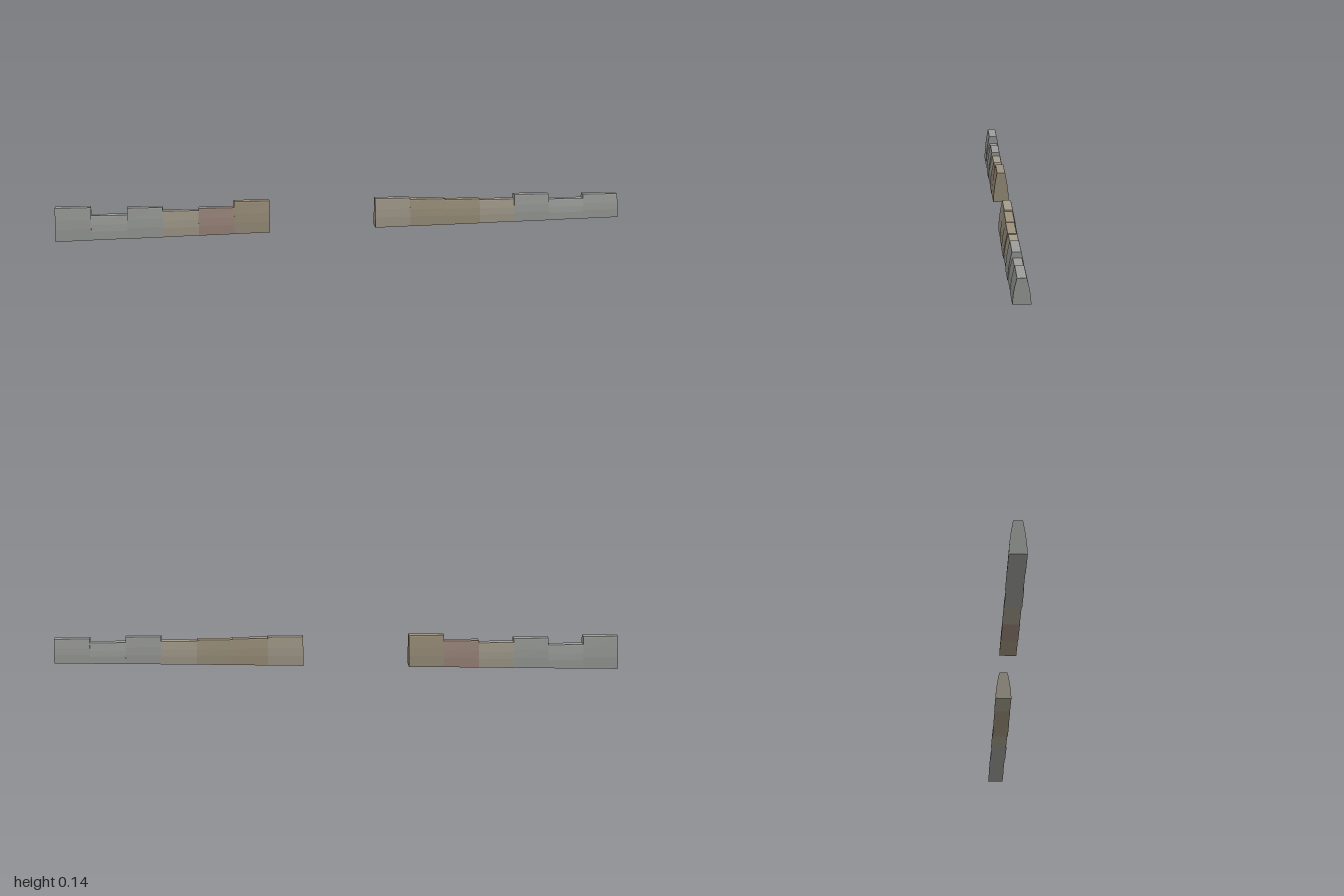
import * as THREE from 'three';

const LENGTH = 0.125; // one wall block
const SLOPE = 0.0245; // the footing climbs gently towards +x

// Half of the tapered cross-section: [fraction of height, half width]
const PROFILE = [[0, 0.029], [0.35, 0.0265], [0.63, 0.0225], [0.96, 0.016], [1, 0.0145]];

const GREY = 0x9c9e9a, TAN = 0x9c917c, SAND = 0xa39c8c, RED = 0x9c877c;

// [top height, colour, sideways shift], in order along x
const LEFT_RUN = [
  [0.117, GREY, 0], [0.088, GREY, -0.001], [0.113, GREY, 0.001],
  [0.099, SAND, -0.001], [0.107, RED, 0], [0.129, TAN, -0.001],
];
const RIGHT_RUN = [
  [0.130, SAND, -0.001], [0.125, TAN, 0], [0.122, TAN, 0.001], [0.119, SAND, -0.001],
  [0.136, GREY, 0.001], [0.117, GREY, -0.001], [0.132, GREY, 0],
];

// Tapered block with a level top and a sloping underside
function wallBlock(x0, top, color, shift) {
  const outline = [
    ...PROFILE.map(([t, w]) => new THREE.Vector2(w, t)),
    ...PROFILE.slice().reverse().map(([t, w]) => new THREE.Vector2(-w, t)),
  ];
  const geometry = new THREE.ExtrudeGeometry(new THREE.Shape(outline), {
    depth: LENGTH, bevelEnabled: false,
  });
  geometry.rotateY(Math.PI / 2);
  geometry.translate(x0, 0, shift);
  const p = geometry.attributes.position;
  for (let i = 0; i < p.count; i++) {
    const base = SLOPE * (p.getX(i) + 1);
    p.setY(i, base + p.getY(i) * (top - base));
  }
  geometry.computeVertexNormals();
  return new THREE.Mesh(geometry, new THREE.MeshStandardMaterial({ color, flatShading: true }));
}

// A row of blocks set end to end
function wallRun(name, start, blocks) {
  const run = new THREE.Group();
  run.name = name;
  blocks.forEach(([top, color, shift], i) => {
    const block = wallBlock(start + i * LENGTH, top, color, shift);
    block.name = `wallBlock${i + 1}`;
    run.add(block);
  });
  return run;
}

export function createModel() {
  const model = new THREE.Group();
  model.name = 'brokenWall';
  // Two runs separated by a gap
  model.add(wallRun('rightWall', -1, LEFT_RUN), wallRun('leftWall', 0.125, RIGHT_RUN));
  return model;
}
